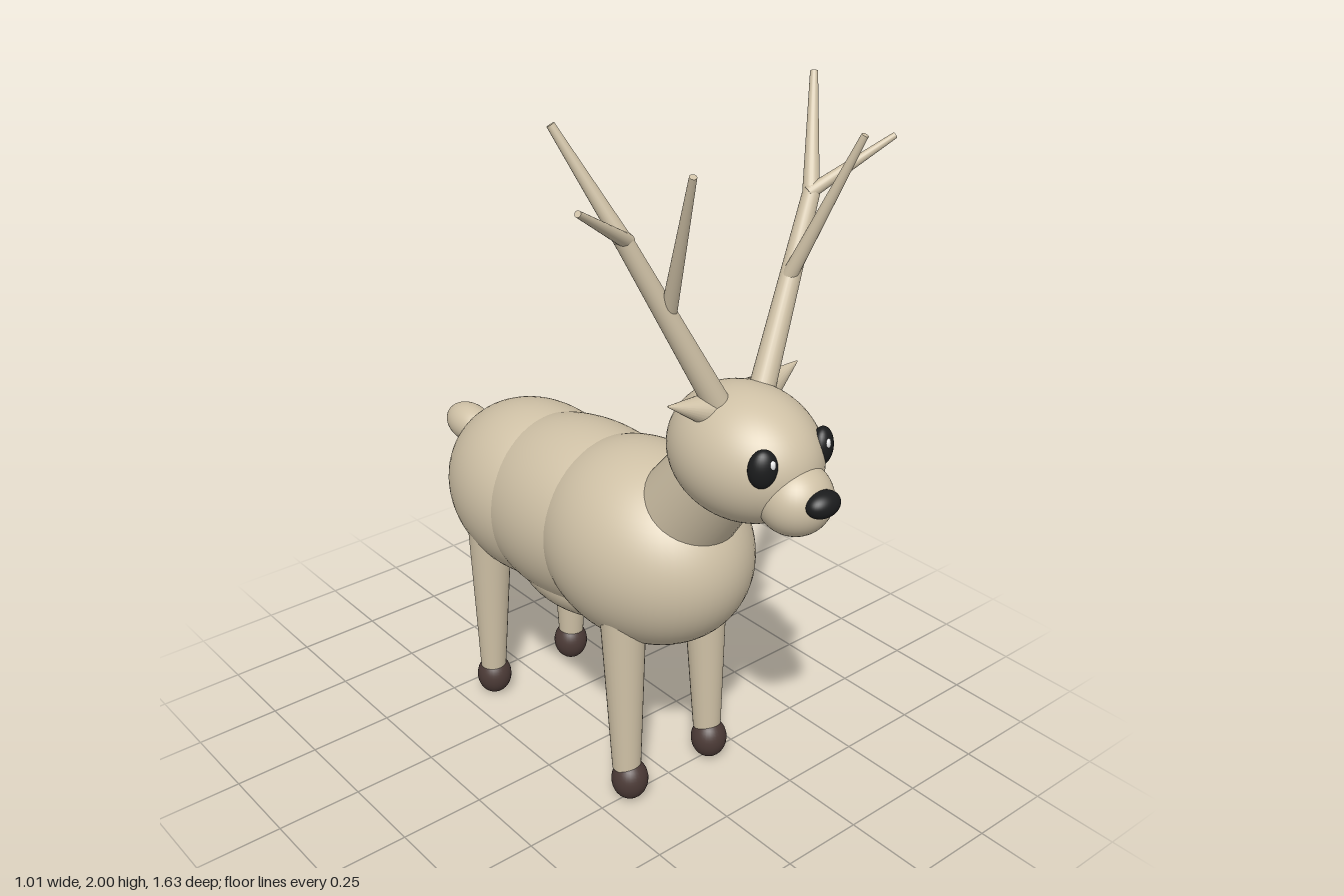
import * as THREE from 'three';

const mat = (name, color) => {
  const m = new THREE.MeshStandardMaterial({ color });
  m.name = name;
  return m;
};

export function createModel() {
  const tan = mat('tan coat', 0xcfc1a6);
  const hoofBrown = mat('hoof brown', 0x4b3a36);
  const black = mat('black', 0x1b1c1d);
  const white = mat('eye glint', 0xe8e8e8);

  const group = new THREE.Group();
  group.name = 'deer';
  const V = (p) => new THREE.Vector3(...p);

  const add = (name, geometry, material) => {
    const mesh = new THREE.Mesh(geometry, material);
    mesh.name = name;
    group.add(mesh);
    return mesh;
  };

  // Smooth ellipsoid with given centre and radii
  const blob = (name, center, radii, material = tan, rot = [0, 0, 0], seg = 40) => {
    const mesh = add(name, new THREE.SphereGeometry(1, seg, Math.round(seg * 0.7)), material);
    mesh.position.set(...center);
    mesh.scale.set(...radii);
    mesh.rotation.set(...rot);
    return mesh;
  };

  // Tapered limb from point a (radius ra) to point b (radius rb)
  const limb = (name, a, b, ra, rb, seg = 20) => {
    const from = V(a), to = V(b);
    const dir = to.clone().sub(from);
    const mesh = add(name, new THREE.CylinderGeometry(rb, ra, dir.length(), seg), tan);
    mesh.position.copy(from).add(to).multiplyScalar(0.5);
    mesh.quaternion.setFromUnitVectors(new THREE.Vector3(0, 1, 0), dir.normalize());
    return mesh;
  };

  // Torso
  blob('chest', [0, 0.74, 0.132], [0.267, 0.285, 0.345], tan, [0, 0, 0], 56);
  blob('midTorso', [0, 0.72, -0.13], [0.253, 0.275, 0.42], tan, [-0.12, 0, 0], 56);
  blob('belly', [0, 0.56, -0.11], [0.19, 0.14, 0.26]);
  blob('rump', [0, 0.702, -0.353], [0.248, 0.265, 0.325], tan, [0, 0, 0], 56);
  blob('tail', [0, 0.78, -0.72], [0.06, 0.06, 0.095]);

  // Neck and head
  limb('neck', [0, 0.80, 0.222], [0, 1.13, 0.476], 0.147, 0.121, 40);
  blob('head', [0, 1.158, 0.51], [0.175, 0.175, 0.22], tan, [0, 0, 0], 56);
  blob('muzzle', [0, 1.1, 0.688], [0.096, 0.095, 0.098]);
  blob('nose', [0, 1.12, 0.78], [0.05, 0.034, 0.035], black);

  for (const s of [1, -1]) {
    const side = s > 0 ? 'left' : 'right';
    const m = ([x, y, z]) => [s * x, y, z];

    // Eyes with a small glint
    blob(side + 'Eye', m([0.1, 1.203, 0.674]), [0.037, 0.051, 0.028], black, [0, s * 0.5, 0], 28);
    blob(side + 'EyeGlint', m([0.094, 1.22, 0.698]), [0.01, 0.013, 0.008], white, [0, s * 0.5, 0], 14);

    // Ears
    limb(side + 'Ear', m([0.072, 1.278, 0.475]), m([0.217, 1.325, 0.465]), 0.05, 0.002, 24);

    // Antlers: beam, upper tine, outer tine, front tine
    limb(side + 'AntlerBeam', m([0.05, 1.25, 0.495]), m([0.305, 1.745, 0.4]), 0.035, 0.022);
    limb(side + 'AntlerUpperTine', m([0.298, 1.73, 0.403]), m([0.412, 1.998, 0.282]), 0.022, 0.01);
    limb(side + 'AntlerOuterTine', m([0.29, 1.735, 0.402]), m([0.498, 1.863, 0.487]), 0.018, 0.008);
    limb(side + 'AntlerFrontTine', m([0.197, 1.55, 0.44]), m([0.268, 1.924, 0.592]), 0.02, 0.009);

    // Legs and hooves
    limb(side + 'FrontLeg', m([0.154, 0.1, 0.243]), m([0.15, 0.63, 0.218]), 0.041, 0.066, 28);
    limb(side + 'HindLeg', m([0.154, 0.1, -0.413]), m([0.15, 0.63, -0.408]), 0.039, 0.068, 28);
    blob(side + 'FrontHoof', m([0.152, 0.062, 0.255]), [0.053, 0.062, 0.053], hoofBrown, [0, 0, 0], 28);
    blob(side + 'HindHoof', m([0.152, 0.062, -0.413]), [0.053, 0.062, 0.053], hoofBrown, [0, 0, 0], 28);
  }

  return group;
}
